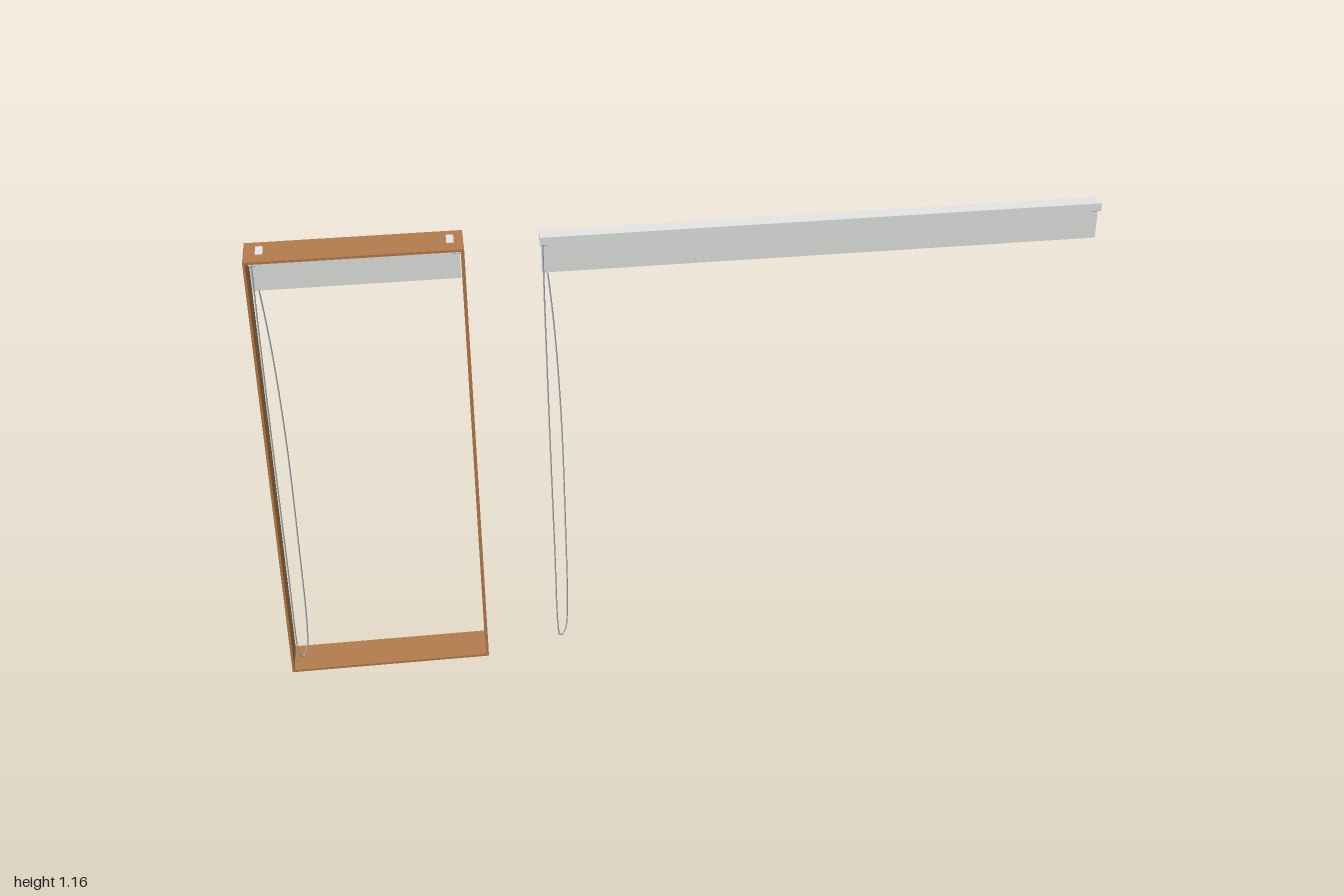
import * as THREE from 'three';

const mat = (name, color, side = THREE.FrontSide) => {
  const m = new THREE.MeshStandardMaterial({ color, side });
  m.name = name;
  return m;
};

export function createModel() {
  const wood = mat('wood', 0xb47d4e);
  const aluminium = mat('aluminium', 0xe4e6e4);
  const fabric = mat('fabric', 0xe3e5e3);
  const cordGrey = mat('cord grey', 0xa9b4bc);

  const root = new THREE.Group();
  root.name = 'rollerBlinds';

  const add = (parent, name, geometry, material, x = 0, y = 0, z = 0) => {
    const mesh = new THREE.Mesh(geometry, material);
    mesh.name = name;
    mesh.position.set(x, y, z);
    parent.add(mesh);
    return mesh;
  };

  // Extrudes a (z, y) outline along x between x0 and x1
  const alongX = (parent, name, outline, material, x0, x1) => {
    const shape = new THREE.Shape(outline.map(([z, y]) => new THREE.Vector2(-z, y)));
    const geo = new THREE.ExtrudeGeometry(shape, { depth: x1 - x0, bevelEnabled: false });
    geo.rotateY(Math.PI / 2);
    return add(parent, name, geo, material, x0, 0, 0);
  };

  // One blind: headrail, end caps, roller, fabric, hem bar and cord loop
  const blind = (name, x0, x1, top) => {
    const g = new THREE.Group();
    g.name = name;
    const zf = 0.014, zb = -0.024, zc = -0.005, t = 0.002, cap = 0.018;

    // Channel open underneath
    alongX(g, 'headrail', [
      [zf, top - 0.001], [zf, top - 0.02], [zf - 0.004, top - 0.022], [zf - 0.004, top - 0.02],
      [zf - t, top - 0.018], [zf - t, top - 0.003], [zb + t, top - 0.003], [zb + t, top - 0.018],
      [zb + 0.004, top - 0.02], [zb + 0.004, top - 0.022], [zb, top - 0.02], [zb, top - 0.001],
    ], aluminium, x0 + cap, x1 - cap);

    // End caps with a tapered underside
    const capOutline = [
      [zf + 0.002, top], [zf + 0.002, top - 0.019], [zc + 0.005, top - 0.028],
      [zc - 0.005, top - 0.028], [zb - 0.002, top - 0.019], [zb - 0.002, top],
    ];
    alongX(g, 'rightEndCap', capOutline, aluminium, x0, x0 + cap);
    alongX(g, 'leftEndCap', capOutline, aluminium, x1 - cap, x1);

    const mid = (x0 + x1) / 2, len = x1 - x0;
    const roller = new THREE.CylinderGeometry(0.007, 0.007, len - 2 * cap, 16).rotateZ(Math.PI / 2);
    add(g, 'roller', roller, aluminium, mid, top - 0.013, zc);

    // Fabric, with the hem bar on its back
    const bottom = 1.057, width = len - 0.004, fTop = top - 0.013;
    add(g, 'fabric', new THREE.BoxGeometry(width, fTop - bottom, 0.0015), fabric,
      mid, (fTop + bottom) / 2, -0.002);
    add(g, 'hemBar', new THREE.BoxGeometry(width, 0.009, 0.0015), fabric, mid, bottom + 0.0045, -0.0035);

    // Hanging cord loop: straight front strand, bowed back strand
    const points = [
      [0.006, 1.13, -0.001], [0.005, 0.95, 0.002], [0.005, 0.6, 0.005], [0.006, 0.3, 0.006],
      [0.007, 0.04, 0.007], [0.011, 0.01, 0.002], [0.018, 0.005, -0.006], [0.028, 0.018, -0.016],
      [0.034, 0.08, -0.019], [0.037, 0.35, -0.02], [0.036, 0.65, -0.02],
      [0.027, 0.9, -0.017], [0.015, 1.06, -0.013], [0.008, 1.13, -0.01],
    ].map(([x, y, z]) => new THREE.Vector3(x0 + x, y, z));
    const curve = new THREE.CatmullRomCurve3(points);
    add(g, 'cordLoop', new THREE.TubeGeometry(curve, 120, 0.0018, 8), cordGrey);
    root.add(g);
    return g;
  };

  // Wooden window frame
  const frame = new THREE.Group();
  frame.name = 'windowFrame';
  const L = -1, R = -0.505, H = 1.155, T = 0.006, D = 0.1;
  for (const [name, x] of [['rightJamb', L + T / 2], ['leftJamb', R - T / 2]])
    add(frame, name, new THREE.BoxGeometry(T, H, D), wood, x, H / 2, 0);
  for (const [name, y] of [['sill', T / 2], ['head', H - T / 2]])
    add(frame, name, new THREE.BoxGeometry(R - L - 2 * T, T, D), wood, (L + R) / 2, y, 0);
  root.add(frame);

  // Small blind inside the frame, with mounting clips through the head
  const small = blind('framedBlind', L + T + 0.003, R - T - 0.001, H - T - 0.001);
  for (const x of [-0.965, -0.535])
    add(small, 'mountingClip', new THREE.BoxGeometry(0.017, 0.009, 0.042), aluminium, x, H - 0.004, -0.008);

  // Wide free-hanging blind
  blind('wideBlind', -0.33, 0.998, H);
  return root;
}
